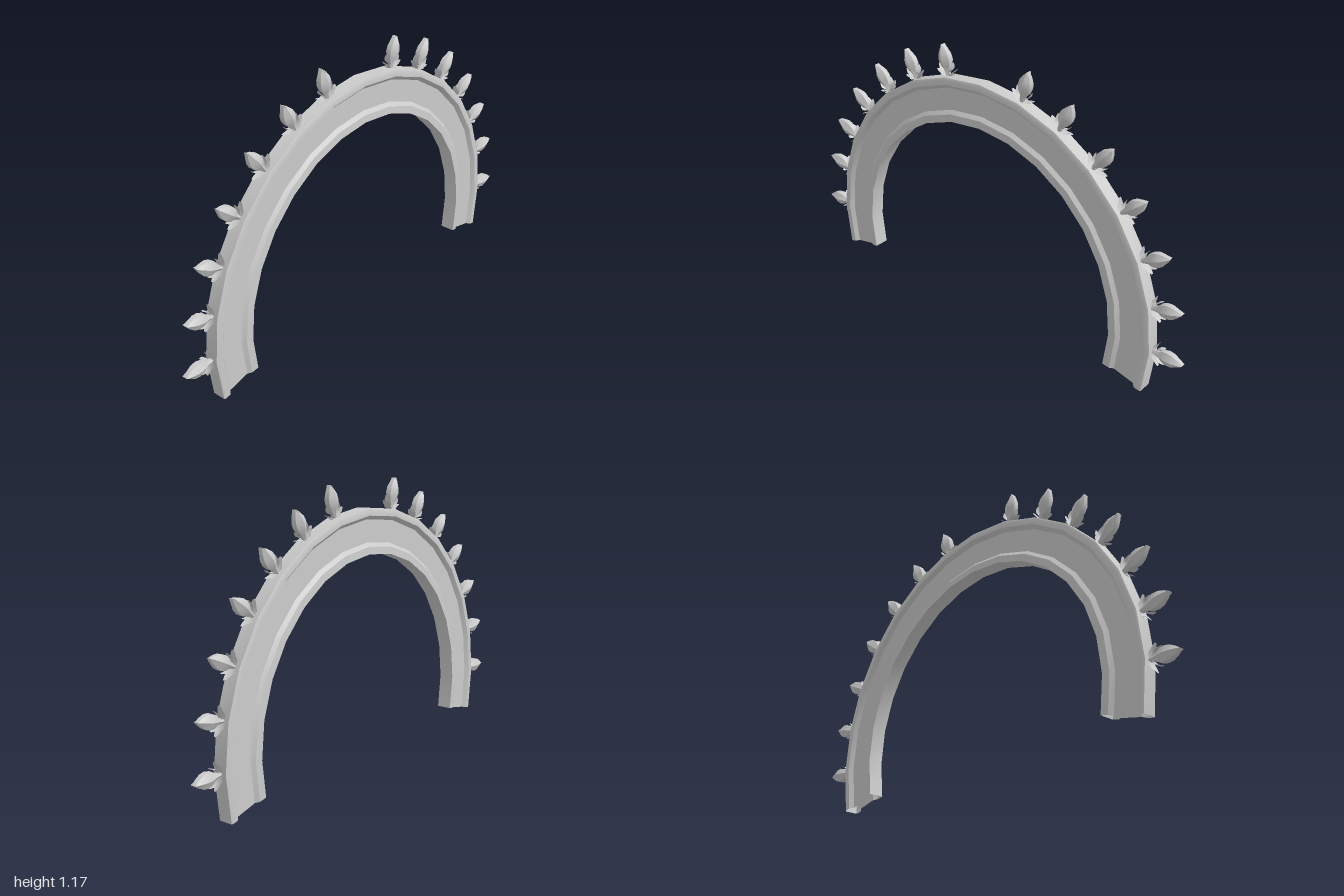
import * as THREE from 'three';
import { toCreasedNormals } from 'three/addons/utils/BufferGeometryUtils.js';

const STEP = Math.PI / 14;   // angle of one arch segment
const CENTRE_Y = 0.193;
const material = new THREE.MeshStandardMaterial({ color: 0xcccccc, side: THREE.DoubleSide });

function mesh(geometry, name, crease = 0.4) {
  const m = new THREE.Mesh(toCreasedNormals(geometry, crease), material);
  m.name = name;
  return m;
}

// Moulded arch: mirrored cross-section (radius, depth) swept past a half circle, ends open
function archGeometry() {
  const half = [
    [0.868, 0.029], [0.858, 0.033], [0.838, 0.033], [0.822, 0.017],
    [0.727, 0.017], [0.711, 0.030], [0.680, 0.033],
  ];
  const front = half.map(([r, z]) => new THREE.Vector2(r, z));
  const back = half.map(([r, z]) => new THREE.Vector2(r, -z)).reverse();
  const loop = [...back, ...front, back[0].clone()];
  const g = new THREE.LatheGeometry(loop, 16, Math.PI - 8 * STEP, 16 * STEP);
  return g.rotateX(Math.PI / 2);
}

// Bud: six-sided sections [height, half width, half depth], closing to a short ridge
function budGeometry() {
  const rings = [
    [0.862, 0.007, 0.010], [0.895, 0.013, 0.014], [0.912, 0.024, 0.021], [0.935, 0.029, 0.026],
    [0.958, 0.026, 0.025], [0.982, 0.014, 0.019], [1.0, 0.0005, 0.012],
  ];
  const section = [[1, 0.45], [1, -0.45], [0, -1], [-1, -0.45], [-1, 0.45], [0, 1]];
  const pos = [], index = [];
  for (const [y, a, b] of rings) for (const [u, w] of section) pos.push(u * a, y, w * b);
  for (let i = 0; i < rings.length - 1; i++) {
    for (let j = 0; j < 6; j++) {
      const p = i * 6 + j, q = i * 6 + (j + 1) % 6;
      index.push(p, q, p + 6, q, q + 6, p + 6);
    }
  }
  const top = (rings.length - 1) * 6;
  for (let j = 1; j < 5; j++) index.push(top, top + j, top + j + 1);
  const g = new THREE.BufferGeometry();
  g.setAttribute('position', new THREE.Float32BufferAttribute(pos, 3));
  g.setIndex(index);
  return g;
}

// Sepal: a cupped strip bent along a curve in the arch plane, narrowing at its end
function leafGeometry(path, side) {
  const curve = new THREE.CatmullRomCurve3(path.map(([x, y]) => new THREE.Vector3(x * side, y, 0)));
  const g = new THREE.PlaneGeometry(2, 1, 2, 5);
  const p = g.attributes.position;
  for (let i = 0; i < p.count; i++) {
    const u = p.getX(i), t = p.getY(i) + 0.5;
    const c = curve.getPoint(t);
    const width = 0.008 + 0.008 * Math.sin(Math.PI * t) - 0.003 * t;
    p.setXYZ(i, c.x, c.y + 0.004 * Math.abs(u) * Math.sin(Math.PI * t), u * width);
  }
  return g;
}

export function createModel() {
  const model = new THREE.Group();
  model.name = 'buddedArch';
  const arch = mesh(archGeometry(), 'arch');
  arch.position.y = CENTRE_Y;
  model.add(arch);

  const leafPaths = [
    [[0.004, 0.866], [0.022, 0.868], [0.038, 0.878]],
    [[0.005, 0.870], [0.030, 0.878], [0.056, 0.896]],
    [[0.006, 0.880], [0.027, 0.893], [0.037, 0.922]],
  ];
  const bud = budGeometry();

  // Seven buds on each flank, none at the crown
  for (let i = 0; i <= 14; i++) {
    if (i === 7) continue;
    const flower = new THREE.Group();
    flower.name = 'flowerBud';
    flower.add(mesh(bud, 'bud', 0.5));
    for (const side of [-1, 1]) {
      for (const path of leafPaths) flower.add(mesh(leafGeometry(path, side), 'sepal', 0.5));
    }
    flower.position.y = CENTRE_Y;
    flower.rotation.z = i * STEP - Math.PI / 2;
    model.add(flower);
  }
  return model;
}
